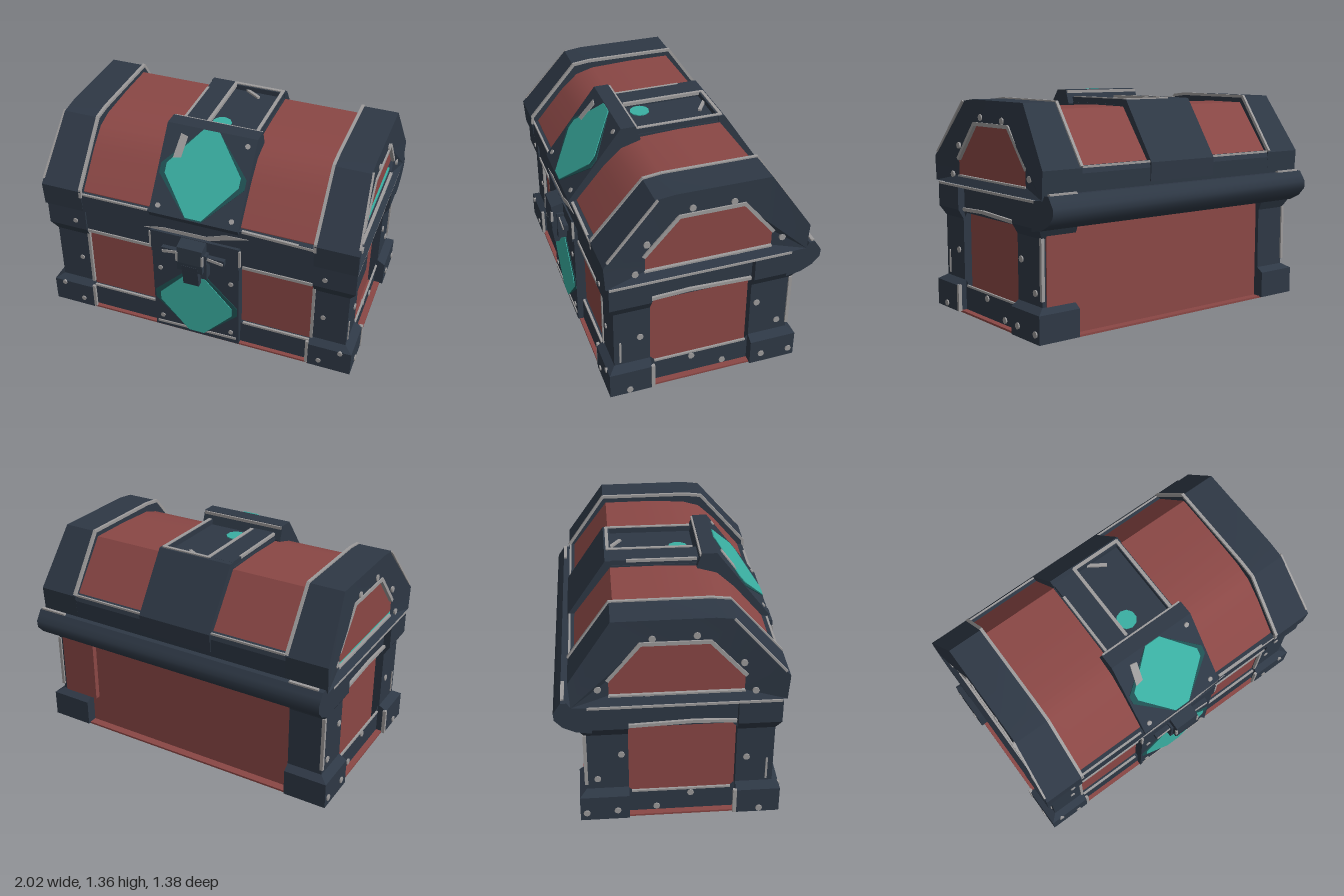
import * as THREE from 'three';
import { toCreasedNormals } from 'three/addons/utils/BufferGeometryUtils.js';

const material = (name, color) => Object.assign(new THREE.MeshStandardMaterial({ color }), { name });

export function createModel() {
  const model = new THREE.Group();
  model.name = 'treasureChest';
  const iron = material('dark iron', 0x2e3845);
  const red = material('red wood', 0x8a4745);
  const teal = material('teal gem', 0x3aafa2);
  const halo = material('dark teal halo', 0x1f5153);
  const wear = material('worn grey', 0x9d9b9b);

  const add = (name, geometry, mat, parent = model) => {
    const mesh = new THREE.Mesh(geometry, mat);
    mesh.name = name;
    parent.add(mesh);
    return mesh;
  };
  // Box given by its limits
  const box = (name, mat, x0, x1, y0, y1, z0, z1) => add(name,
    new THREE.BoxGeometry(Math.abs(x1 - x0), y1 - y0, z1 - z0)
      .translate((x0 + x1) / 2, (y0 + y1) / 2, (z0 + z1) / 2), mat);
  // Side outline of [z, y] points, extruded along x
  const side = (points, x0, x1, hole) => {
    const v = (list) => list.map(([z, y]) => new THREE.Vector2(-z, y));
    const shape = new THREE.Shape(v(points));
    if (hole) shape.holes.push(new THREE.Path(v(hole)));
    return new THREE.ExtrudeGeometry(shape, { depth: Math.abs(x1 - x0), bevelEnabled: false })
      .rotateY(Math.PI / 2).translate(Math.min(x0, x1), 0, 0);
  };
  // Thin front-facing plate of [x, y] points
  const plate = (name, mat, points, z, parent) => add(name, new THREE.ExtrudeGeometry(
    new THREE.Shape(points.map((p) => new THREE.Vector2(...p))),
    { depth: 0.006, bevelEnabled: false }).translate(0, 0, z), mat, parent);
  // Worn edge running along a path
  const edge = (points, w = 0.018) => {
    for (let i = 1; i < points.length; i++) {
      const a = new THREE.Vector3(...points[i - 1]), b = new THREE.Vector3(...points[i]);
      const mesh = add('wornEdge', new THREE.BoxGeometry(w, w, a.distanceTo(b) + w * 0.5), wear);
      mesh.position.copy(a).lerp(b, 0.5);
      mesh.lookAt(b);
    }
  };
  const diamond = (w, h, cy) => [[w, -0.03], [w, 0.03], [0.05, h], [-0.05, h],
    [-w, 0.03], [-w, -0.03], [-0.05, -h], [0.05, -h]].map(([x, y]) => [x, y + cy]);

  // Wooden body, base and inner rim
  box('body', red, -0.9, 0.9, 0, 0.78, -0.5, 0.54);
  box('base', red, -0.98, 0.98, 0, 0.012, -0.55, 0.59);
  box('innerRim', teal, -0.92, 0.92, 0.775, 0.805, -0.5, 0.57);

  // Corner posts, flared at both ends
  const rows = [[0.006, 0.05], [0.17, 0.05], [0.2, 0], [0.58, 0], [0.64, 0.035], [0.785, 0.035]];
  const cornerPost = (sx, sz) => {
    const g = new THREE.BoxGeometry(1, 1, 1, 1, rows.length - 1, 1);
    const p = g.attributes.position;
    const zIn = sz > 0 ? 0.34 : -0.28, zOut = sz > 0 ? 0.557 : -0.525;
    for (let i = 0; i < p.count; i++) {
      const [y, flare] = rows[Math.round((p.getY(i) + 0.5) * (rows.length - 1))];
      const outX = p.getX(i) * sx > 0, outZ = p.getZ(i) * sz > 0;
      p.setXYZ(i, sx * (outX ? 0.95 + flare : 0.73), y, outZ ? zOut + sz * flare * 0.85 : zIn);
    }
    add('cornerPost', toCreasedNormals(g, 0.3), iron);
  };

  // Lid outlines
  const lidOuter = [[0.605, 0.8], [0.615, 0.95], [0.31, 1.3], [0.2, 1.313], [-0.36, 1.31], [-0.6, 0.96], [-0.59, 0.8]];
  const lidHole = [[0.37, 0.85], [0.37, 0.95], [0.17, 1.16], [-0.2, 1.16], [-0.38, 0.95], [-0.38, 0.85]];
  const lidShell = [[0.57, 0.81], [0.57, 0.93], [0.4, 1.13], [0.29, 1.23], [0.18, 1.262], [-0.08, 1.272],
    [-0.34, 1.27], [-0.57, 0.96], [-0.57, 0.81]];
  const bodyOuter = [[0.54, 0.012], [0.54, 0.785], [-0.5, 0.785], [-0.5, 0.012]];
  const bodyHole = [[0.34, 0.2], [0.34, 0.59], [0.31, 0.62], [-0.26, 0.62], [-0.295, 0.59],
    [-0.295, 0.2], [-0.26, 0.17], [0.31, 0.17]];
  add('lidBoards', toCreasedNormals(side(lidShell, -0.91, 0.91), 0.5), red);

  for (const s of [1, -1]) {
    cornerPost(s, 1);
    cornerPost(s, -1);
    add('sideFrame', side(bodyOuter, s * 0.87, s * 0.942, bodyHole), iron);

    // Lid end band, its lower corners swelling outward
    const band = side(lidOuter, s * 0.73, s * 0.955, lidHole);
    const p = band.attributes.position;
    for (let i = 0; i < p.count; i++) {
      if (Math.abs(p.getX(i)) > 0.9 && Math.abs(p.getZ(i)) > 0.5) p.setX(i, s * 0.99);
    }
    add('lidEndBand', toCreasedNormals(band, 0.3), iron);

    // Front rails beside the centre plate
    box('frontTopRail', iron, s * 0.27, s * 0.74, 0.625, 0.785, 0.5, 0.575);
    box('frontBottomRail', iron, s * 0.27, s * 0.74, 0.012, 0.17, 0.5, 0.565);

    // Worn edges on the ends
    const x = s * 0.948;
    edge([[x, 0.64, 0.33], [x, 0.65, 0.1], [x, 0.635, -0.27]], 0.02);
    edge([[x, 0.166, 0.31], [x, 0.166, -0.26]], 0.012);
    edge([[s * 0.994, 0.015, 0.335], [s * 0.994, 0.17, 0.335]], 0.022);
    edge([[s * 0.953, 0.95, 0.375], [s * 0.953, 1.17, 0.175], [s * 0.953, 1.17, -0.205], [s * 0.953, 0.95, -0.385]], 0.022);
    edge([[s * 0.953, 0.842, 0.37], [s * 0.953, 0.842, -0.38]], 0.018);
    edge([[s * 0.95, 0.24, -0.525], [s * 0.95, 0.58, -0.525]], 0.02);
    edge([[s * 0.95, 0.22, 0.52], [s * 0.95, 0.36, 0.52]], 0.012);
    edge([[s * 0.98, 0.785, 0.58], [s * 0.98, 0.785, -0.5]], 0.014);

    // Worn edges on the front and lid
    edge([[s * 0.735, 0.2, 0.555], [s * 0.735, 0.6, 0.555]], 0.018);
    edge([[s * 0.72, 0.017, 0.59], [s * 0.72, 0.18, 0.59]], 0.018);
    edge([[s * 0.3, 0.635, 0.573], [s * 0.72, 0.635, 0.573]], 0.02);
    edge([[s * 0.3, 0.17, 0.56], [s * 0.72, 0.17, 0.56]], 0.014);
    edge([[s * 0.735, 0.91, 0.607], [s * 0.735, 0.96, 0.605], [s * 0.735, 1.3, 0.305], [s * 0.735, 1.312, 0.2],
      [s * 0.735, 1.309, -0.36], [s * 0.735, 0.97, -0.595]], 0.018);
    edge([[s * 0.96, 1.3, 0.3], [s * 0.985, 0.98, 0.59]], 0.012);
    edge([[s * 0.285, 0.66, 0.605], [s * 0.285, 0.77, 0.605]], 0.014);

    // Studs on the ends: z, y, x
    for (const [z, y, sx] of [[0.48, 0.035, 1], [-0.35, 0.07, 1], [-0.53, 0.06, 1], [0.08, 0.13, 0.942],
      [-0.12, 0.04, 0.942], [0.4, 0.38, 0.95], [-0.32, 0.44, 0.95], [-0.46, 0.27, 0.95], [0.43, 0.85, 0.965],
      [0.36, 1.03, 0.96], [0.1, 1.21, 0.955], [-0.14, 1.2, 0.955], [-0.44, 0.9, 0.967], [-0.17, 0.825, 0.955]]) {
      add('stud', new THREE.CylinderGeometry(0.02, 0.02, 0.016, 8).rotateZ(Math.PI / 2), wear).position.set(s * sx, y, z);
    }
    // Studs on the front: x, y, z
    for (const [x2, y, z] of [[0.8, 0.06, 0.6], [0.8, 0.38, 0.557], [0.8, 0.7, 0.587], [0.23, 0.1, 0.6],
      [0.23, 0.5, 0.6], [0.93, 0.16, 0.6]]) {
      add('stud', new THREE.CylinderGeometry(0.016, 0.016, 0.014, 8).rotateX(Math.PI / 2), wear).position.set(s * x2, y, z);
    }
  }

  // Bare wood on one back corner
  box('backCornerWood', red, 0.68, 0.925, 0.2, 0.62, -0.533, -0.5);

  // Lower lid bands and the rounded back rail
  box('lidFrontBand', iron, -0.74, 0.74, 0.8, 0.925, 0.5, 0.605);
  add('lidBackBand', side([[-0.5, 0.8], [-0.5, 0.97], [-0.585, 0.97], [-0.597, 0.93], [-0.59, 0.8]], -0.74, 0.74), iron);
  add('backRail', toCreasedNormals(side([[-0.48, 0.62], [-0.57, 0.635], [-0.64, 0.67], [-0.685, 0.72], [-0.688, 0.765],
    [-0.665, 0.8], [-0.645, 0.83], [-0.61, 0.83], [-0.59, 0.8], [-0.48, 0.79]], -0.985, 0.985), 0.7), iron);
  edge([[-0.95, 0.83, -0.635], [-0.78, 0.83, -0.635]], 0.02);
  edge([[0.8, 0.83, -0.635], [0.97, 0.83, -0.635]], 0.02);
  edge([[-0.72, 0.965, -0.59], [0.72, 0.965, -0.59]], 0.012);
  edge([[-0.72, 0.925, 0.6], [-0.3, 0.925, 0.6]], 0.012);
  edge([[0.3, 0.925, 0.6], [0.72, 0.915, 0.602]], 0.016);
  plate('chippedPaint', wear, [[-0.32, 0.8], [0.1, 0.805], [0.2, 0.84], [0.34, 0.88], [0.2, 0.875], [0.08, 0.83], [-0.2, 0.825]], 0.603);

  // Centre strap over the lid, with a sunken top
  add('lidStrap', side([[0.3, 1.1], [0.3, 1.28], [-0.33, 1.28], [-0.33, 1.312], [-0.37, 1.31], [-0.605, 0.96],
    [-0.6, 0.85], [-0.3, 0.85]], -0.245, 0.245), iron);
  box('strapTopLeft', iron, -0.24, -0.09, 1.27, 1.312, -0.34, 0.2);
  box('strapTopRight', iron, 0.21, 0.24, 1.27, 1.312, -0.34, 0.2);
  edge([[-0.085, 1.308, 0.16], [-0.085, 1.308, -0.35], [0.225, 1.308, -0.35], [0.225, 1.308, 0.17]], 0.02);
  edge([[-0.235, 1.306, 0.17], [-0.235, 1.306, -0.24]], 0.016);
  edge([[0, 1.283, -0.33], [0.09, 1.283, -0.27]], 0.02);
  add('topGem', new THREE.CylinderGeometry(0.06, 0.06, 0.006, 10), teal).position.set(-0.02, 1.284, 0.08);

  // Sloped plate with gem at the front of the lid
  add('lidPlate', side([[0.61, 0.9], [0.62, 0.93], [0.29, 1.357], [0.2, 1.357], [0.17, 1.27], [0.4, 0.9]], -0.28, 0.28), iron);
  edge([[-0.27, 1.345, 0.197], [0.27, 1.345, 0.197]], 0.018);
  const slope = new THREE.Group();
  slope.name = 'lidPlateFace';
  slope.position.set(0, 0.93, 0.62);
  slope.rotation.x = -Math.atan2(0.33, 0.427);
  model.add(slope);
  plate('lidGemHalo', halo, diamond(0.265, 0.265, 0.27), -0.002, slope);
  plate('lidGem', teal, diamond(0.23, 0.262, 0.275), 0.002, slope);
  plate('chippedPaint', wear, [[-0.2, 0.34], [-0.15, 0.35], [-0.135, 0.48], [-0.18, 0.49]], 0.004, slope);
  for (const [x, y] of [[0.23, 0.49], [0.23, 0.05], [-0.23, 0.05]]) {
    add('stud', new THREE.CylinderGeometry(0.016, 0.016, 0.014, 8).rotateX(Math.PI / 2), wear, slope).position.set(x, y, 0);
  }

  // Centre plate with gem on the body
  box('bodyPlate', iron, -0.28, 0.28, 0.012, 0.63, 0.5, 0.6);
  box('lockCollar', iron, -0.28, 0.28, 0.63, 0.79, 0.5, 0.612);
  plate('bodyGemHalo', halo, diamond(0.27, 0.25, 0.28), 0.597);
  plate('bodyGem', teal, diamond(0.235, 0.235, 0.27), 0.601);
  edge([[-0.26, 0.045, 0.598], [0.26, 0.055, 0.598]], 0.016);

  // Latch with side brackets
  add('latch', side([[0.6, 0.79], [0.685, 0.77], [0.69, 0.66], [0.685, 0.6], [0.6, 0.6]], -0.08, 0.08), iron);
  add('latchTongue', toCreasedNormals(side([[0.61, 0.64], [0.69, 0.64], [0.67, 0.485], [0.64, 0.485], [0.61, 0.56]], -0.05, 0.05), 0.3), iron);
  for (const s of [1, -1]) {
    box('latchBracket', iron, s * 0.08, s * 0.2, 0.66, 0.7, 0.6, 0.64);
    box('latchBracketLeg', iron, s * 0.055, s * 0.095, 0.54, 0.72, 0.6, 0.655);
    edge([[s * 0.1, 0.69, 0.637], [s * 0.19, 0.675, 0.637]], 0.018);
    edge([[s * 0.08, 0.67, 0.686], [s * 0.08, 0.73, 0.684]], 0.014);
  }
  return model;
}
